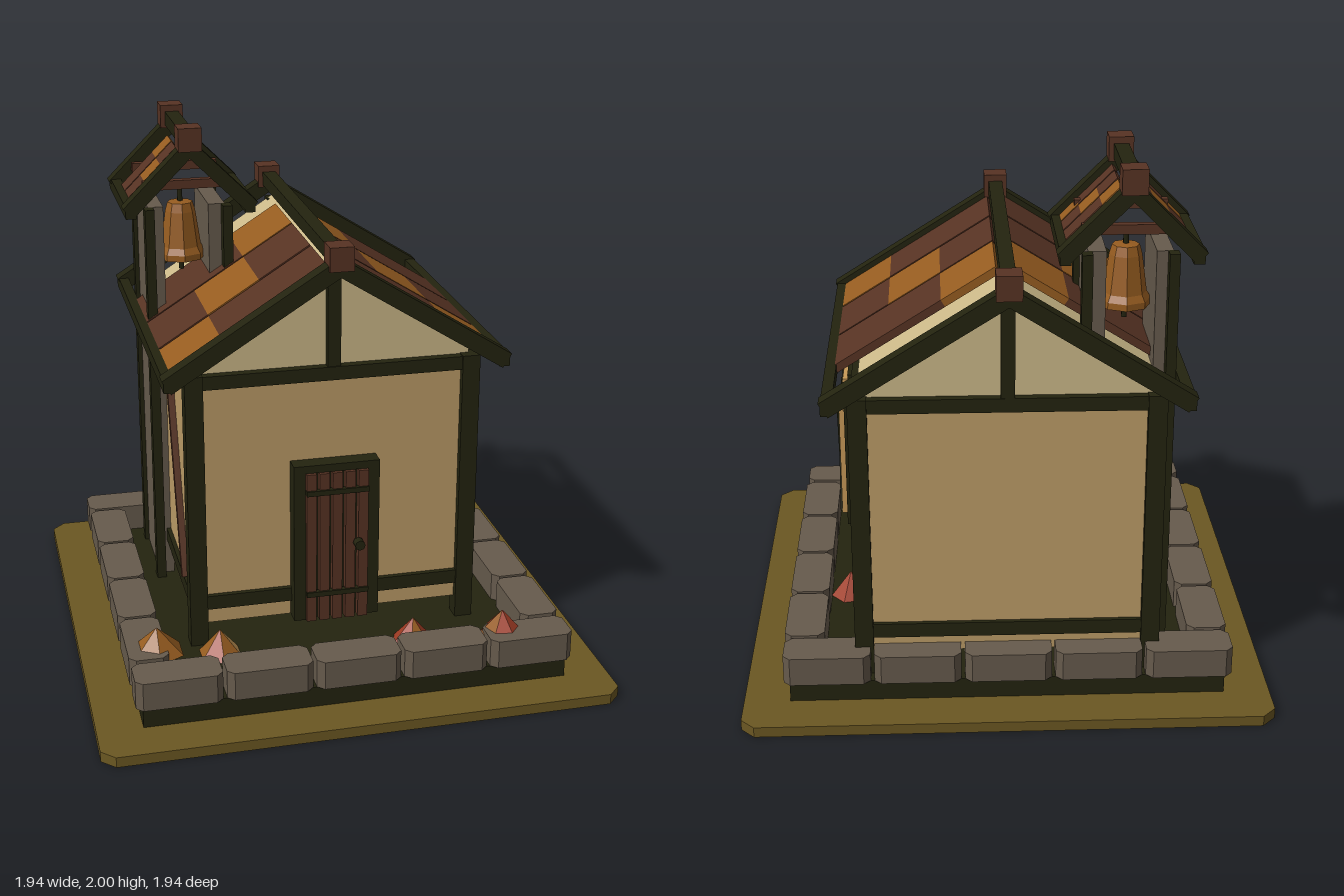
import * as THREE from 'three';

const mat = (name, color) => {
  const m = new THREE.MeshStandardMaterial({ color });
  m.name = name;
  return m;
};

export function createModel() {
  const olive = mat('olive ground', 0x6b5722), dark = mat('dark timber', 0x23230f);
  const stone = mat('grey stone', 0x665a4c), plaster = mat('tan plaster', 0xbc9c67);
  const cream = mat('cream gable', 0xcbb888), brown = mat('red brown wood', 0x573323);
  const orange = mat('orange clay', 0x965c20), red = mat('leaf red', 0xa03c24);
  const pane = mat('window glow', 0xc89a58);

  const root = new THREE.Group();
  const group = (name, parent = root) => {
    const g = new THREE.Group();
    g.name = name;
    parent.add(g);
    return g;
  };
  const add = (parent, name, geo, m) => {
    const mesh = new THREE.Mesh(geo, m);
    mesh.name = name;
    parent.add(mesh);
    return mesh;
  };
  // Box from its limits
  const box = (p, name, m, x0, x1, y0, y1, z0, z1) => {
    const b = add(p, name, new THREE.BoxGeometry(x1 - x0, y1 - y0, z1 - z0), m);
    b.position.set((x0 + x1) / 2, (y0 + y1) / 2, (z0 + z1) / 2);
    return b;
  };
  // Upright slab with chamfered corners
  const slab = (p, name, m, x0, x1, y0, y1, z0, z1, c) => {
    const pts = [[x0 + c, z0], [x1 - c, z0], [x1, z0 + c], [x1, z1 - c],
      [x1 - c, z1], [x0 + c, z1], [x0, z1 - c], [x0, z0 + c]];
    const s = new THREE.Shape(pts.map(([x, z]) => new THREE.Vector2(x, -z)));
    const g = new THREE.ExtrudeGeometry(s, { depth: y1 - y0, bevelEnabled: false });
    g.rotateX(-Math.PI / 2);
    g.translate(0, y0, 0);
    return add(p, name, g, m);
  };
  // Beam in an x-y plane, running between two points
  const slant = (p, name, m, x0, y0, x1, y1, z0, z1, t) => {
    const b = add(p, name, new THREE.BoxGeometry(Math.hypot(x1 - x0, y1 - y0), t, z1 - z0), m);
    b.position.set((x0 + x1) / 2, (y0 + y1) / 2, (z0 + z1) / 2);
    b.rotation.z = Math.atan2(y1 - y0, x1 - x0);
    return b;
  };

  // Ground and stone border
  slab(root, 'groundPlate', olive, -0.97, 0.97, 0, 0.04, -0.97, 0.97, 0.05);
  box(root, 'foundation', dark, -0.8, 0.8, 0.04, 0.12, -0.8, 0.8);
  const border = group('stoneBorder');
  for (let i = 0; i < 5; i++) {
    const a = -0.825 + i * 0.332;
    for (const z of [-0.825, 0.675])
      slab(border, 'borderStone', stone, a, a + 0.318, 0.12, 0.23, z, z + 0.148, 0.025);
    if (i < 4) for (const x of [-0.825, 0.677])
      slab(border, 'borderStone', stone, x, x + 0.148, 0.12, 0.23, a + 0.165, a + 0.483, 0.025);
  }

  // House body and timber frame
  const house = group('house');
  box(house, 'walls', plaster, -0.535, 0.535, 0.2, 1.2, -0.725, 0.375);
  const gable = new THREE.Shape([[-0.525, 1.2], [0.525, 1.2], [0.525, 1.24], [0, 1.58], [-0.525, 1.24]]
    .map(([x, y]) => new THREE.Vector2(x, y)));
  const gableGeo = new THREE.ExtrudeGeometry(gable, { depth: 1.07, bevelEnabled: false });
  gableGeo.translate(0, 0, -0.71);
  add(house, 'gableAttic', gableGeo, cream);
  for (const x of [-0.525, 0.525]) for (const z of [-0.715, 0.368])
    box(house, 'cornerPost', dark, x - 0.034, x + 0.034, 0.12, 1.21, z - 0.034, z + 0.034);
  for (const [y0, y1] of [[0.265, 0.32], [1.155, 1.207]]) {
    for (const z of [-0.715, 0.368])
      box(house, 'crossBeam', dark, -0.5, 0.5, y0, y1, z - 0.027, z + 0.027);
    for (const x of [-0.525, 0.525])
      box(house, 'sideBeam', dark, x - 0.027, x + 0.027, y0, y1, -0.69, 0.34);
  }
  for (const z of [-0.71, 0.36])
    box(house, 'kingPost', dark, -0.025, 0.025, 1.2, 1.57, z - 0.03, z + 0.03);
  for (const x of [-0.545, 0.545]) {
    const brace = box(house, 'wallBrace', brown, x - 0.015, x + 0.015, 0.295, 1.155, 0.047, 0.077);
    brace.position.set(x, 0.725, 0.063);
    brace.rotation.x = -Math.atan2(0.295, 0.81);
  }

  // Framed roof with three rows of tiles; the last row is bare
  const tileRows = [[brown, brown, orange], [brown, orange, brown], [orange, brown, brown]];
  const roof = (name, cx, peak, halfW, drop, z0, z1, rows, t, depth, tileT) => {
    const g = group(name);
    const slope = drop / halfW;
    for (const s of [-1, 1]) {
      for (const z of [z0, z1 - depth])
        slant(g, 'rafter', dark, cx, peak, cx + s * halfW, peak - drop, z, z + depth, t);
      const ex = cx + s * (halfW - 0.01);
      box(g, 'eaveBeam', dark, ex - 0.02, ex + 0.02, peak - drop - 0.02, peak - drop + 0.028, z0, z1);
      const start = 0.025, w = (halfW - 0.025 - start) / 3;
      rows.forEach(([a, b], r) => {
        for (let i = 0; i < 3; i++) {
          const u = start + i * w, v = u + w;
          slant(g, 'roofTile', tileRows[r][i], cx + s * u, peak - 0.005 - u * slope,
            cx + s * v, peak - 0.005 - v * slope, a, b, tileT);
        }
      });
    }
    box(g, 'ridgeBeam', dark, cx - 0.027, cx + 0.027, peak, peak + 0.055, z0, z1);
    for (const z of [z0 + 0.03, z1 - 0.03])
      box(g, 'ridgeCap', brown, cx - 0.045, cx + 0.045, peak - 0.01, peak + 0.08, z - 0.045, z + 0.045);
    return g;
  };
  roof('houseRoof', 0, 1.61, 0.635, 0.4, -0.835, 0.485,
    [[0.15, 0.42], [-0.17, 0.137], [-0.48, -0.18]], 0.062, 0.062, 0.03);

  // Door
  const door = group('door');
  for (const s of [-1, 1])
    box(door, 'doorJamb', dark, s * 0.1425 - 0.0225, s * 0.1425 + 0.0225, 0.2, 0.84, 0.37, 0.44);
  box(door, 'doorLintel', dark, -0.16, 0.16, 0.81, 0.84, 0.37, 0.44);
  box(door, 'doorBacking', dark, -0.13, 0.13, 0.2, 0.82, 0.37, 0.425);
  for (let i = -2; i <= 2; i++)
    box(door, 'doorPlank', brown, i * 0.05 - 0.019, i * 0.05 + 0.019, 0.2, 0.81, 0.42, 0.455);
  for (const y of [0.315, 0.735])
    box(door, 'doorStrap', dark, -0.12, 0.12, y - 0.01, y + 0.01, 0.44, 0.463);
  const knob = add(door, 'doorHandle', new THREE.CylinderGeometry(0.02, 0.02, 0.035, 8), dark);
  knob.rotation.x = Math.PI / 2;
  knob.position.set(0.078, 0.52, 0.48);

  // Windows on the left wall
  for (const z of [0.165, -0.163, -0.462]) {
    const w = group('window');
    box(w, 'windowFrame', dark, 0.53, 0.58, 0.64, 1.11, z - 0.097, z + 0.097);
    box(w, 'windowPane', pane, 0.54, 0.6, 0.67, 1.08, z - 0.062, z + 0.062);
    for (const s of [-1, 1]) {
      const bar = box(w, 'windowCross', dark, 0.598, 0.607, 0.667, 1.083, z - 0.009, z + 0.009);
      bar.rotation.x = s * Math.atan2(0.1, 0.4);
    }
  }

  // Bell tower
  const tower = group('bellTower');
  for (const z of [-0.585, -0.215]) {
    box(tower, 'towerPost', dark, -0.602, -0.565, 0.12, 1.68, z - 0.025, z + 0.025);
    box(tower, 'towerPost', dark, -0.3, -0.262, 1.2, 1.68, z - 0.025, z + 0.025);
  }
  box(tower, 'towerStone', stone, -0.585, -0.525, 0.12, 1.68, -0.565, -0.235);
  box(tower, 'towerStone', stone, -0.35, -0.285, 1.2, 1.68, -0.565, -0.235);
  for (const z of [-0.565, -0.25])
    box(tower, 'towerTie', brown, -0.6, -0.26, 1.745, 1.78, z - 0.016, z + 0.016);
  roof('towerRoof', -0.43, 1.92, 0.24, 0.24, -0.66, -0.15,
    [[-0.285, -0.2], [-0.4, -0.295], [-0.51, -0.41]], 0.055, 0.06, 0.018);

  // Bell
  const profile = [[0, 1.66], [0.05, 1.655], [0.06, 1.62], [0.08, 1.48], [0.094, 1.455], [0.094, 1.43], [0, 1.43]];
  const bellGeo = new THREE.LatheGeometry(profile.reverse().map(([x, y]) => new THREE.Vector2(x, y)), 8).toNonIndexed();
  bellGeo.computeVertexNormals();
  add(tower, 'bell', bellGeo, orange).position.set(-0.435, 0, -0.4);
  add(tower, 'bellRod', new THREE.CylinderGeometry(0.011, 0.011, 0.35, 6), dark).position.set(-0.435, 1.555, -0.4);

  // Leaf piles: low cones with a colour for each face
  const leafMats = [red, orange, pane];
  const piles = [[-0.71, 0.2, 0.55, 0.105, [1, 1, 0, 0, 1, 1]], [0.275, 0.12, 0.55, 0.085, [0, 0, 1, 0, 0, 1]],
    [0.575, 0.2, 0.71, 0.09, [0, 2, 0, 1, 0, 0]], [-0.46, 0.12, 0.475, 0.085, [2, 1, 1, 0, 1, 2]],
    [0.6, 0.12, -0.15, 0.08, [0, 1, 0, 0, 1, 0]]];
  piles.forEach(([x, y, z, r, cols], n) => {
    const geo = new THREE.ConeGeometry(r, 0.1, 6, 1, true).toNonIndexed();
    geo.computeVertexNormals();
    geo.clearGroups();
    cols.forEach((c, i) => geo.addGroup(i * 3, 3, c));
    const pile = add(root, 'leafPile', geo, leafMats);
    pile.position.set(x, y + 0.05, z);
    pile.rotation.y = n * 0.7;
  });

  return root;
}
